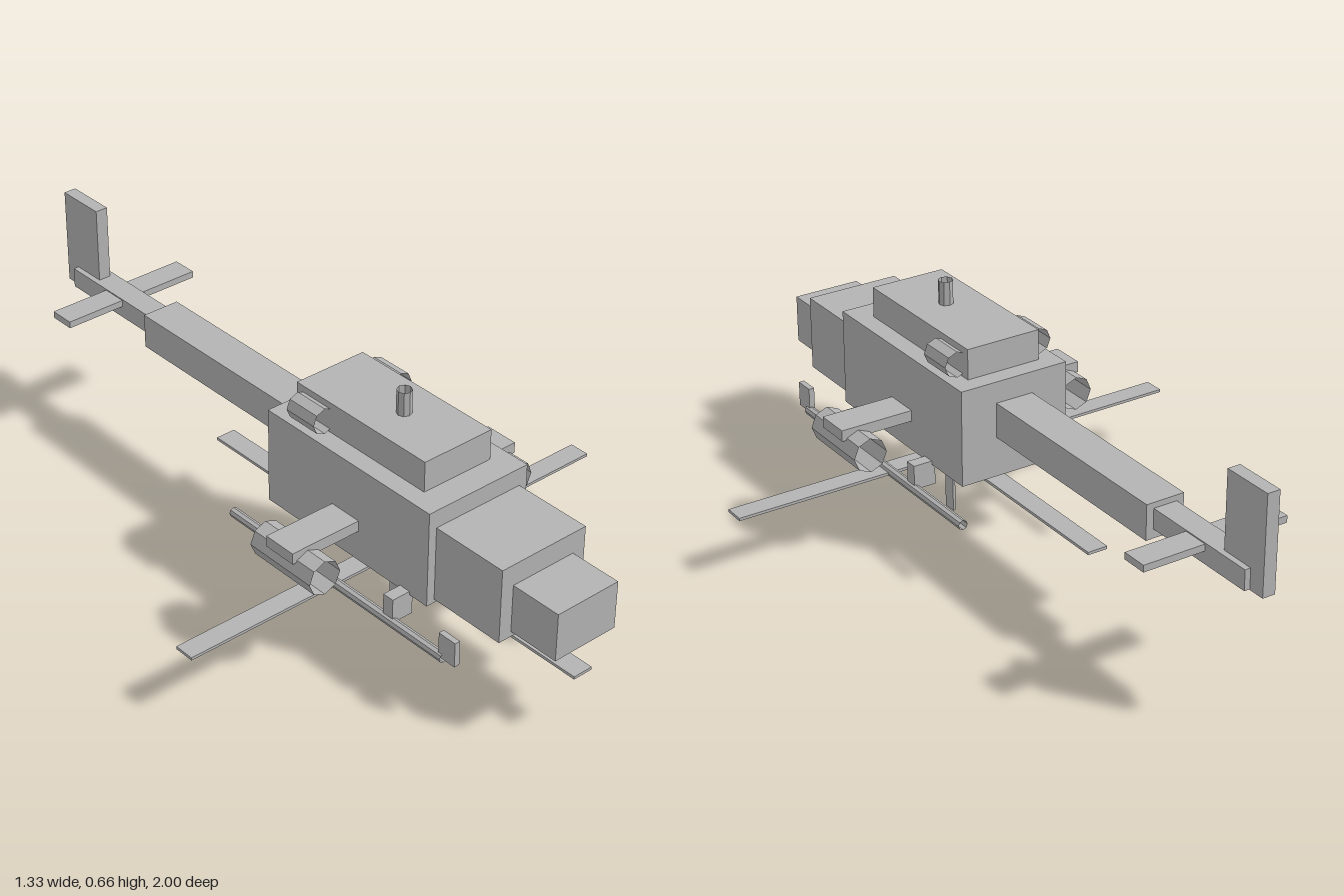
import * as THREE from 'three';

const grey = new THREE.MeshStandardMaterial({ color: 0xb3b3b3, flatShading: true, side: THREE.DoubleSide });
grey.name = 'plain grey';

// Box given by its extents [min, max] along each axis
function box(name, [x0, x1], [y0, y1], [z0, z1]) {
  const mesh = new THREE.Mesh(new THREE.BoxGeometry(x1 - x0, y1 - y0, z1 - z0), grey);
  mesh.position.set((x0 + x1) / 2, (y0 + y1) / 2, (z0 + z1) / 2);
  mesh.name = name;
  return mesh;
}

// Open-ended eight-sided tube along the chosen axis
function tube(name, axis, radius, length, x, y, z) {
  const geometry = new THREE.CylinderGeometry(radius, radius, length, 8, 1, true);
  if (axis === 'z') geometry.rotateX(Math.PI / 2);
  if (axis === 'x') geometry.rotateZ(Math.PI / 2);
  const mesh = new THREE.Mesh(geometry, grey);
  mesh.position.set(x, y, z);
  mesh.name = name;
  return mesh;
}

export function createModel() {
  const model = new THREE.Group();
  model.name = 'helicopter';

  // Stepped body and tail
  model.add(
    box('fuselage', [-0.16, 0.16], [0.24, 0.51], [0.04, 0.63]),
    box('cockpit', [-0.136, 0.136], [0.25, 0.46], [0.63, 0.853]),
    box('nose', [-0.098, 0.098], [0.265, 0.4], [0.853, 1]),
    box('engineCowl', [-0.108, 0.108], [0.51, 0.595], [0.09, 0.555]),
    tube('mast', 'y', 0.02, 0.067, 0, 0.628, 0.363),
    box('tailBoom', [-0.055, 0.055], [0.352, 0.45], [-0.605, 0.04]),
    box('rearBoom', [-0.034, 0.034], [0.378, 0.434], [-0.953, -0.605]),
    box('tailFin', [-0.018, 0.018], [0.376, 0.647], [-1, -0.855]),
    box('stabilizer', [-0.21, 0.21], [0.412, 0.431], [-0.804, -0.731])
  );

  // Wings, pods, exhausts and landing skids on both sides
  for (const side of [-1, 1]) {
    const span = (a, b) => (side > 0 ? [a, b] : [-b, -a]);
    const half = new THREE.Group();
    half.name = side > 0 ? 'leftEquipment' : 'rightEquipment';
    half.add(
      box('wing', span(0.16, 0.37), [0.326, 0.357], [0.284, 0.382]),
      tube('pod', 'z', 0.048, 0.222, side * 0.322, 0.298, 0.334),
      tube('exhaust', 'z', 0.036, 0.102, side * 0.125, 0.548, 0.164),
      tube('skid', 'z', 0.0135, 0.788, side * 0.211, 0.181, 0.353),
      box('skidToe', span(0.2, 0.216), [0.18, 0.25], [0.733, 0.789])
    );
    for (const z of [0.205, 0.552]) {
      half.add(box('strut', span(0.15, 0.214), [0.181, 0.25], [z - 0.017, z + 0.017]));
    }
    model.add(half);
  }

  // Main rotor: hub and four flat blades
  const rotor = new THREE.Group();
  rotor.name = 'mainRotor';
  rotor.position.set(0, 0.179, 0.333);
  rotor.add(tube('rotorHub', 'y', 0.069, 0.028, 0, -0.003, 0));
  for (let i = 0; i < 4; i++) {
    const arm = new THREE.Group();
    arm.name = 'rotorArm';
    arm.rotation.y = i * Math.PI / 2;
    arm.add(box('rotorBlade', [0.05, 0.667], [-0.004, 0.004], [-0.029, 0.029]));
    rotor.add(arm);
  }
  model.add(rotor);

  // Small upright rotor: hub and two blades
  const small = new THREE.Group();
  small.name = 'tailRotor';
  small.position.set(0, 0.177, 0.334);
  small.add(
    tube('tailRotorHub', 'x', 0.036, 0.022, 0.01, 0, 0),
    box('lowerBlade', [0.009, 0.016], [-0.177, -0.032], [-0.019, 0.019]),
    box('upperBlade', [0.009, 0.016], [0.032, 0.177], [-0.019, 0.019])
  );
  model.add(small);

  return model;
}
